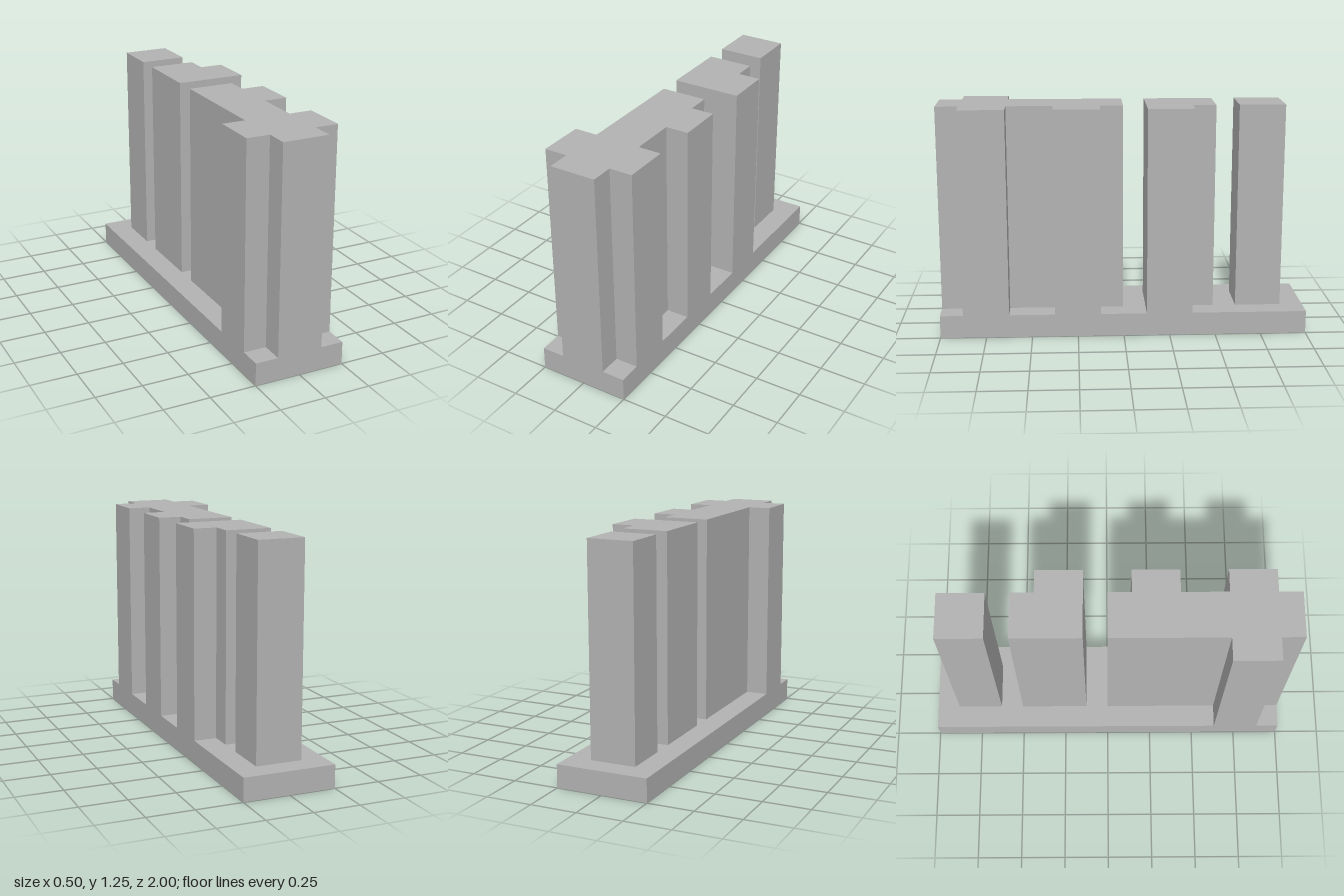
import * as THREE from 'three';

const U = 0.125; // grid unit: every dimension is a multiple of this
const BASE_H = U;
const TOP = 10 * U;

// Upright prism from a footprint given as [x, z] corners in grid units
function prism(name, corners, y0, y1, material) {
  const shape = new THREE.Shape(corners.map(([x, z]) => new THREE.Vector2(x * U, -z * U)));
  const geometry = new THREE.ExtrudeGeometry(shape, { depth: y1 - y0, bevelEnabled: false });
  geometry.rotateX(-Math.PI / 2);
  geometry.translate(0, y0, 0);
  const mesh = new THREE.Mesh(geometry, material);
  mesh.name = name;
  return mesh;
}

export function createModel() {
  const grey = new THREE.MeshStandardMaterial({ color: 0xb2b2b2 });
  grey.name = 'plain grey';

  const model = new THREE.Group();
  model.name = 'slottedWall';

  // Flat base slab
  model.add(prism('base', [[-2, -8], [2, -8], [2, 8], [-2, 8]], 0, BASE_H, grey));

  // Footprints of the three upright pieces, back to front
  const uprights = {
    squarePost: [[-1, -7], [1, -7], [1, -5], [-1, -5]],
    tabbedPost: [[-1, -4], [1, -4], [1, -3], [2, -3], [2, -1], [-1, -1]],
    ribbedWall: [
      [-1, 0], [1, 0], [1, 1], [2, 1], [2, 3], [1, 3], [1, 5], [2, 5], [2, 7], [1, 7],
      [1, 8], [-1, 8], [-1, 7], [-2, 7], [-2, 5], [-1, 5],
    ],
  };
  for (const [name, corners] of Object.entries(uprights)) {
    model.add(prism(name, corners, BASE_H, TOP, grey));
  }
  return model;
}
